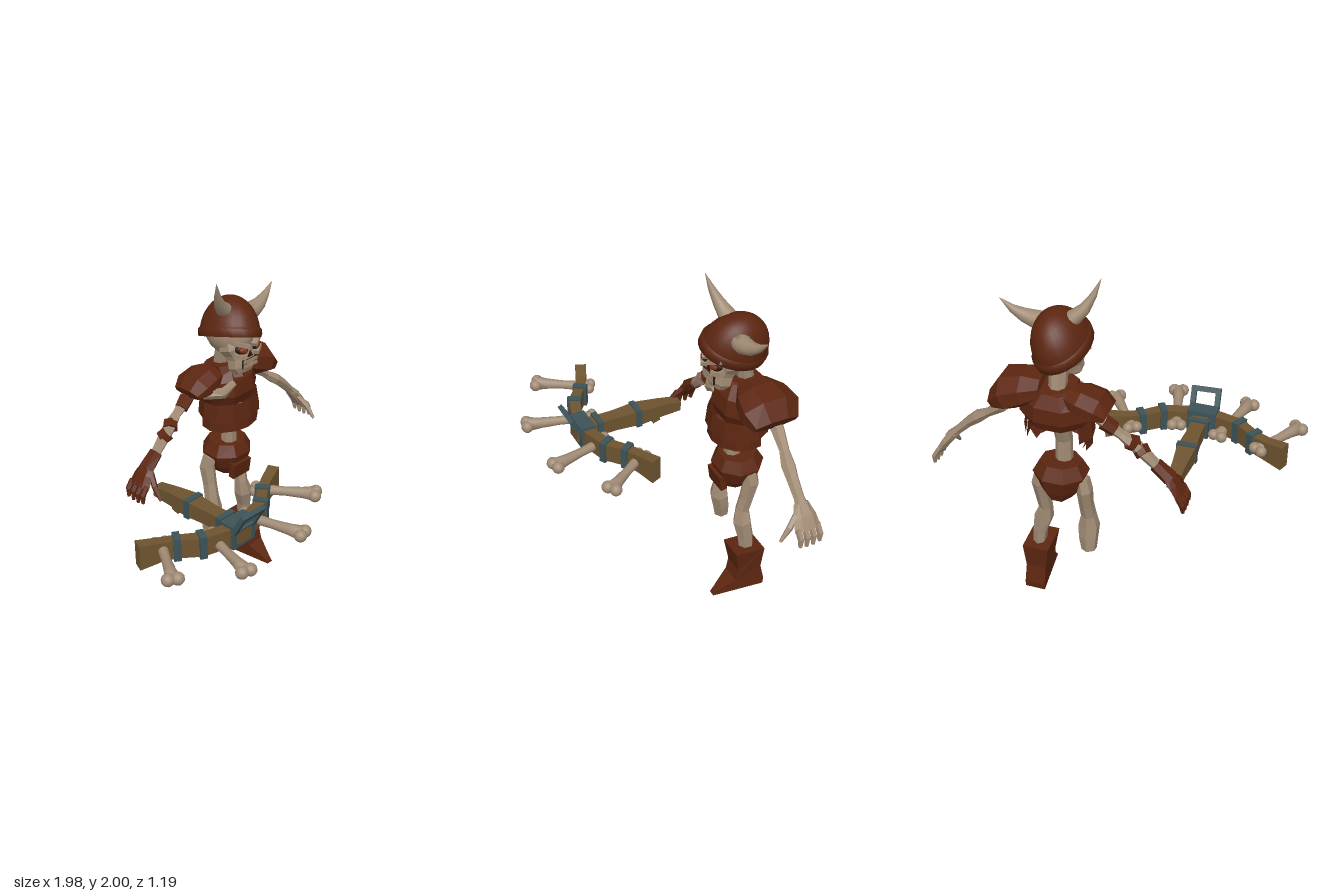
import * as THREE from 'three';

const mat = (name, color, side = THREE.FrontSide) => Object.assign(new THREE.MeshStandardMaterial({ color, side }), { name });
const V = (x, y, z) => new THREE.Vector3(x, y, z);
const X = V(1, 0, 0), Y = V(0, 1, 0), Z = V(0, 0, 1);

// Faceted copy of a geometry
function facet(geo) {
  const g = geo.index ? geo.toNonIndexed() : geo;
  g.computeVertexNormals();
  return g;
}

// Skin over rings [x, y, z, halfA, halfB]; B runs along ref, A across it
function loft(rows, n = 8, ref = Z, smooth = false) {
  const pos = [], idx = [], c = rows.map(r => V(r[0], r[1], r[2]));
  const grow = n === 4 ? Math.SQRT2 : 1;
  rows.forEach((r, i) => {
    const t = c[Math.min(i + 1, c.length - 1)].clone().sub(c[Math.max(i - 1, 0)]).normalize();
    const s = ref.clone().cross(t).normalize(), b = t.clone().cross(s);
    for (let j = 0; j < n; j++) {
      const q = (j + 0.5) / n * Math.PI * 2;
      const p = c[i].clone().addScaledVector(s, Math.cos(q) * r[3] * grow).addScaledVector(b, Math.sin(q) * r[4] * grow);
      pos.push(p.x, p.y, p.z);
    }
  });
  const last = (rows.length - 1) * n;
  for (let i = 0; i < last; i += n) for (let j = 0; j < n; j++) {
    const k = (j + 1) % n;
    idx.push(i + j, i + k, i + n + k, i + j, i + n + k, i + n + j);
  }
  for (let j = 1; j < n - 1; j++) idx.push(0, j + 1, j, last, last + j, last + j + 1);
  const g = new THREE.BufferGeometry();
  g.setAttribute('position', new THREE.Float32BufferAttribute(pos, 3));
  g.setIndex(idx);
  if (!smooth) return facet(g);
  g.computeVertexNormals();
  return g;
}

export function createModel() {
  const root = new THREE.Group();
  root.name = 'skeletonWithCrossbow';
  const bone = mat('bone', 0xa08b74), leather = mat('leather', 0x5c2610, THREE.DoubleSide);
  const wood = mat('wood', 0x6e5430), metal = mat('metal', 0x3c5358);
  const dark = mat('socketDark', 0x2c1a12), red = mat('eyeRed', 0x8a2f18);
  const add = (name, geo, m, parent = root) => {
    const o = new THREE.Mesh(geo, m);
    o.name = name;
    parent.add(o);
    return o;
  };
  const box = (name, m, s, p, r = [0, 0, 0], parent = root) => {
    const o = add(name, new THREE.BoxGeometry(...s), m, parent);
    o.position.set(...p);
    o.rotation.set(...r);
    return o;
  };
  const ball = (name, m, s, p, r = [0, 0, 0]) => {
    const o = add(name, new THREE.SphereGeometry(1, 14, 10), m);
    o.scale.set(...s);
    o.position.set(...p);
    o.rotation.set(...r);
  };

  // Skull
  ball('cranium', bone, [0.125, 0.14, 0.165], [0.22, 1.64, -0.36]);
  add('face', loft([
    [0.225, 1.415, -0.25, 0.06, 0.04], [0.225, 1.45, -0.265, 0.088, 0.07], [0.225, 1.5, -0.275, 0.085, 0.08],
    [0.225, 1.525, -0.285, 0.095, 0.085], [0.225, 1.56, -0.295, 0.122, 0.1], [0.225, 1.6, -0.31, 0.115, 0.105], [0.225, 1.67, -0.34, 0.125, 0.14]
  ]), bone);
  for (const s of [-1, 1]) {
    const x = 0.225 + s * 0.06;
    ball('eyeSocket', dark, [0.041, 0.027, 0.02], [x, 1.582, -0.211], [0, s * 0.45, s * 0.25]);
    ball('eye', red, [0.027, 0.016, 0.012], [x, 1.582, -0.196], [0, s * 0.45, s * 0.25]);
    box('brow', bone, [0.1, 0.022, 0.04], [x, 1.615, -0.21], [0, s * 0.4, s * 0.4]);
    box('cheekbone', bone, [0.07, 0.025, 0.04], [x + s * 0.012, 1.546, -0.215], [0, s * 0.5, s * 0.25]);
  }
  const nose = add('noseHole', new THREE.CylinderGeometry(0.022, 0.022, 0.008, 3), dark);
  nose.position.set(0.225, 1.54, -0.199);
  nose.rotation.x = -Math.PI / 2;
  box('mouthGap', dark, [0.12, 0.05, 0.01], [0.225, 1.49, -0.204]);
  for (let i = -2; i <= 2; i++) for (const y of [1.503, 1.477])
    box('tooth', bone, [0.019, 0.021, 0.016], [0.225 + i * 0.023, y, -0.2 - Math.abs(i) * 0.002]);

  // Helmet, tilted back and to one side
  const helmet = new THREE.Group();
  helmet.name = 'helmet';
  helmet.position.set(0.215, 1.62, -0.35);
  helmet.rotation.set(-0.27, 0, -0.3);
  root.add(helmet);
  const dome = add('helmetDome', new THREE.SphereGeometry(1, 24, 10, 0, Math.PI * 2, 0, Math.PI / 2), leather, helmet);
  dome.scale.set(0.155, 0.225, 0.195);
  const rim = add('helmetRim', new THREE.LatheGeometry(
    [[0.93, -0.012], [1.04, -0.012], [1.05, 0.03], [0.96, 0.045]].map(p => new THREE.Vector2(...p)), 24), leather, helmet);
  rim.scale.set(0.155, 1, 0.195);
  add('rightHorn', loft([[0.2, 1.765, -0.345, 0.05, 0.055], [0.155, 1.795, -0.34, 0.043, 0.05], [0.105, 1.845, -0.32, 0.032, 0.035],
    [0.065, 1.915, -0.295, 0.018, 0.02], [0.032, 2.0, -0.27, 0.001, 0.001]], 12, Z, true), bone);
  add('leftHorn', loft([[0.31, 1.73, -0.32, 0.052, 0.06], [0.38, 1.735, -0.32, 0.048, 0.052], [0.44, 1.752, -0.325, 0.038, 0.038],
    [0.5, 1.785, -0.335, 0.022, 0.022], [0.565, 1.842, -0.345, 0.001, 0.001]], 12, Z, true), bone);

  // Spine and chest armour
  add('spine', loft([[0.225, 0.84, -0.38, 0.05, 0.05], [0.225, 1.05, -0.37, 0.048, 0.05], [0.225, 1.25, -0.43, 0.05, 0.055],
    [0.225, 1.42, -0.43, 0.05, 0.05], [0.225, 1.58, -0.39, 0.055, 0.055]]), bone);
  add('chestArmour', loft([[0.24, 1.2, -0.41, 0.17, 0.14], [0.24, 1.26, -0.41, 0.21, 0.165], [0.24, 1.35, -0.415, 0.2, 0.155],
    [0.235, 1.42, -0.42, 0.12, 0.11]]), leather);
  add('collar', loft([[0.225, 1.36, -0.4, 0.11, 0.15], [0.225, 1.43, -0.41, 0.11, 0.11]], 6), leather);
  for (const [y, top, bottom, h, sweep] of [[1.175, 0.185, 0.2, 0.11, 1.45], [1.1, 0.18, 0.185, 0.1, 1.25], [1.055, 0.17, 0.135, 0.06, 1.1]]) {
    const band = add('bellyBand', facet(new THREE.CylinderGeometry(top, bottom, h, 8, 1, true, -sweep * Math.PI / 2, sweep * Math.PI)), leather);
    band.scale.z = 0.85;
    band.position.set(0.24, y, -0.385);
    band.rotation.z = 0.04;
  }
  add('collarBone', loft([[0.0, 1.31, -0.36, 0.03, 0.03], [0.09, 1.31, -0.285, 0.035, 0.025], [0.17, 1.35, -0.275, 0.02, 0.02]], 6), bone);

  // Shoulder guards
  add('leftShoulderGuard', loft([[0.30, 1.41, -0.43, 0.06, 0.1], [0.39, 1.395, -0.43, 0.095, 0.155],
    [0.49, 1.365, -0.43, 0.105, 0.18], [0.565, 1.315, -0.43, 0.055, 0.14]]), leather);
  add('rightShoulderGuard', loft([[0.17, 1.38, -0.42, 0.05, 0.09], [0.09, 1.37, -0.43, 0.07, 0.125],
    [0.0, 1.345, -0.43, 0.07, 0.13], [-0.06, 1.315, -0.43, 0.035, 0.1]]), leather);

  // Arms
  add('leftArm', loft([[0.46, 1.33, -0.45, 0.04, 0.045], [0.54, 1.25, -0.46, 0.035, 0.04], [0.63, 1.18, -0.45, 0.024, 0.03],
    [0.7, 1.13, -0.435, 0.036, 0.042], [0.76, 1.08, -0.43, 0.03, 0.036], [0.83, 1.01, -0.43, 0.025, 0.032], [0.89, 0.95, -0.43, 0.03, 0.045]], 6), bone);
  const armPath = [[0.02, 1.31, -0.45, 0.036, 0.04], [-0.06, 1.25, -0.455, 0.034, 0.036], [-0.13, 1.2, -0.45, 0.025, 0.03],
    [-0.19, 1.155, -0.44, 0.038, 0.04], [-0.26, 1.09, -0.435, 0.034, 0.036], [-0.33, 1.02, -0.43, 0.028, 0.032], [-0.4, 0.96, -0.43, 0.032, 0.045]];
  add('rightArm', loft(armPath, 6), bone);
  const wrap = (a, b, tilt) => add('armWrap', loft([a, b].map((t, i) => {
    const k = Math.floor(t), f = t - k;
    const r = armPath[k].map((v, j) => v + (armPath[k + 1][j] - v) * f);
    return [r[0], r[1], r[2] + (i ? tilt : -tilt), r[3] + 0.009, r[4] + 0.009];
  }), 6), leather);
  wrap(0.7, 1.5, 0.006);
  wrap(2.7, 3.2, 0.012);
  wrap(3.5, 3.95, -0.012);
  wrap(4.8, 5.99, 0);

  // Hands: palm, four fingers and a thumb
  const hand = (side, x, y, m) => {
    const P = (dx, dy, z, a, b) => [x + side * dx, y + dy, z, a, b];
    const g = new THREE.Group();
    g.name = side > 0 ? 'leftHand' : 'rightHand';
    root.add(g);
    add('palm', loft([P(-0.03, 0.04, -0.43, 0.026, 0.045), P(0.02, -0.02, -0.43, 0.028, 0.07), P(0.06, -0.08, -0.43, 0.024, 0.08)], 6), m, g);
    for (let i = 0; i < 4; i++) {
      const z = -0.49 + i * 0.04;
      add('finger', loft([P(0.055, -0.06, z, 0.017, 0.018), P(0.085, -0.11, z - 0.004, 0.017, 0.019),
        P(0.09, -0.17 + Math.abs(i - 1.5) * 0.008, z, 0.01, 0.011)], 5), m, g);
    }
    add('thumb', loft([P(0.0, 0.0, -0.39, 0.018, 0.018), P(0.025, -0.06, -0.335, 0.02, 0.018), P(0.03, -0.13, -0.28, 0.009, 0.009)], 5, X), m, g);
  };
  hand(1, 0.88, 0.95, bone);
  hand(-1, -0.4, 0.95, leather);

  // Hip armour
  add('hipArmour', loft([[0.235, 0.7, -0.4, 0.075, 0.1], [0.235, 0.76, -0.405, 0.125, 0.125],
    [0.235, 0.85, -0.405, 0.16, 0.15], [0.235, 0.92, -0.4, 0.12, 0.11]]), leather);
  box('hipFrontPlate', leather, [0.14, 0.1, 0.04], [0.225, 0.755, -0.285], [0.15, 0, 0]);

  // Legs; the right one ends below the knee
  add('leftLeg', loft([[0.345, 0.83, -0.42, 0.04, 0.05], [0.355, 0.76, -0.43, 0.048, 0.052], [0.35, 0.65, -0.41, 0.042, 0.045],
    [0.345, 0.56, -0.39, 0.04, 0.045], [0.36, 0.48, -0.385, 0.058, 0.056], [0.38, 0.38, -0.4, 0.042, 0.05], [0.39, 0.25, -0.41, 0.035, 0.045]], 6), bone);
  add('rightLeg', loft([[0.105, 0.83, -0.42, 0.04, 0.05], [0.09, 0.76, -0.43, 0.046, 0.052], [0.09, 0.65, -0.41, 0.042, 0.045],
    [0.085, 0.56, -0.39, 0.045, 0.045], [0.085, 0.48, -0.385, 0.064, 0.056], [0.085, 0.4, -0.4, 0.058, 0.052], [0.08, 0.32, -0.41, 0.045, 0.045]], 6), bone);

  // Boot: side outline, narrowed towards the toe and flared at the top
  const bootShape = new THREE.Shape([[-0.5, 0], [-0.18, 0], [-0.2, 0.025], [-0.31, 0.105], [-0.325, 0.18], [-0.3, 0.32],
    [-0.49, 0.3], [-0.48, 0.15], [-0.505, 0.04]].map(p => new THREE.Vector2(...p)));
  const boot = new THREE.ExtrudeGeometry(bootShape, { depth: 0.12, bevelEnabled: false });
  boot.translate(0, 0, -0.06).rotateY(-Math.PI / 2);
  const bp = boot.attributes.position;
  for (let i = 0; i < bp.count; i++) {
    const y = bp.getY(i), w = bp.getZ(i) > -0.25 ? 0.35 : y > 0.25 ? 1.3 : 1;
    bp.setX(i, bp.getX(i) * w + 0.393 - y * 0.03);
  }
  add('leftBoot', facet(boot), leather);

  // Crossbow stock and bow
  const cx = -0.39, cy = 0.87;
  add('stock', loft([[cx, 0.855, -0.35, 0.035, 0.03], [cx, 0.865, -0.22, 0.04, 0.042], [cx, cy, -0.08, 0.053, 0.05],
    [cx, cy, 0.08, 0.042, 0.045], [cx, cy, 0.34, 0.045, 0.045]], 4, Y), wood);
  box('trigger', wood, [0.03, 0.05, 0.05], [cx, 0.8, -0.19], [0.3, 0, 0]);
  const half = [[0.53, 0.065, 0.034, 0.075], [0.42, 0.11, 0.03, 0.06], [0.335, 0.155, 0.03, 0.056], [0.23, 0.24, 0.032, 0.058], [0.09, 0.28, 0.034, 0.055]];
  const bow = [...half.map(h => [-h[0], ...h.slice(1)]), [0, 0.285, 0.036, 0.055], ...half.slice().reverse()];
  add('bow', loft(bow.map(([x, z, a, b]) => [cx + x, cy, z, a, b]), 4, Y), wood);

  // Metal straps
  for (const z of [-0.06, 0.19]) box('stockStrap', metal, [0.118, 0.115, 0.035], [cx, cy, z]);
  for (const s of [-1, 1]) {
    box('bowStrap', metal, [0.04, 0.135, 0.085], [cx + s * 0.335, cy, 0.155], [0, s * 0.62, 0]);
    box('bowStrap', metal, [0.04, 0.135, 0.085], [cx + s * 0.23, cy, 0.238], [0, s * 0.5, 0]);
  }

  // Metal head block and raised stirrup
  const frame = (name, w, h, t, depth) => {
    const s = new THREE.Shape([[-w, -h], [w, -h], [w, h], [-w, h]].map(p => new THREE.Vector2(...p)));
    s.holes.push(new THREE.Path([[-w + t, -h + t], [-w + t, h - t], [w - t, h - t], [w - t, -h + t]].map(p => new THREE.Vector2(...p))));
    return add(name, new THREE.ExtrudeGeometry(s, { depth, bevelEnabled: false }).translate(0, 0, -depth / 2), metal);
  };
  frame('headBlock', 0.085, 0.072, 0.03, 0.09).position.set(cx, cy, 0.285);
  const stirrup = frame('stirrup', 0.088, 0.075, 0.03, 0.028);
  stirrup.position.set(cx + 0.005, 0.96, 0.355);
  stirrup.rotation.set(0.5, 0, -0.04);

  // Bones lashed to the bow
  for (const [x1, z1, x2, z2, y] of [[-0.77, 0.08, -0.94, 0.35, 0.88], [-0.51, 0.18, -0.61, 0.545, 0.85],
    [-0.255, 0.2, -0.17, 0.545, 0.86], [-0.02, 0.08, 0.165, 0.35, 0.87]]) {
    const L = Math.hypot(x2 - x1, z2 - z1), dx = (x2 - x1) / L, dz = (z2 - z1) / L;
    const row = (t, a) => [x1 + (x2 - x1) * t, y, z1 + (z2 - z1) * t, a, a];
    add('lashedBone', loft([row(0, 0.036), row(0.2, 0.029), row(0.5, 0.026), row(0.8, 0.032), row(1, 0.042)], 10, Y, true), bone);
    for (const [x, z, r, e] of [[x1, z1, 0.032, -1], [x2, z2, 0.036, 1]]) for (const s of [-1, 1])
      ball('boneKnuckle', bone, [r, r, r], [x - dz * s * 0.026 + dx * e * 0.008, y, z + dx * s * 0.026 + dz * e * 0.008]);
  }
  return root;
}
